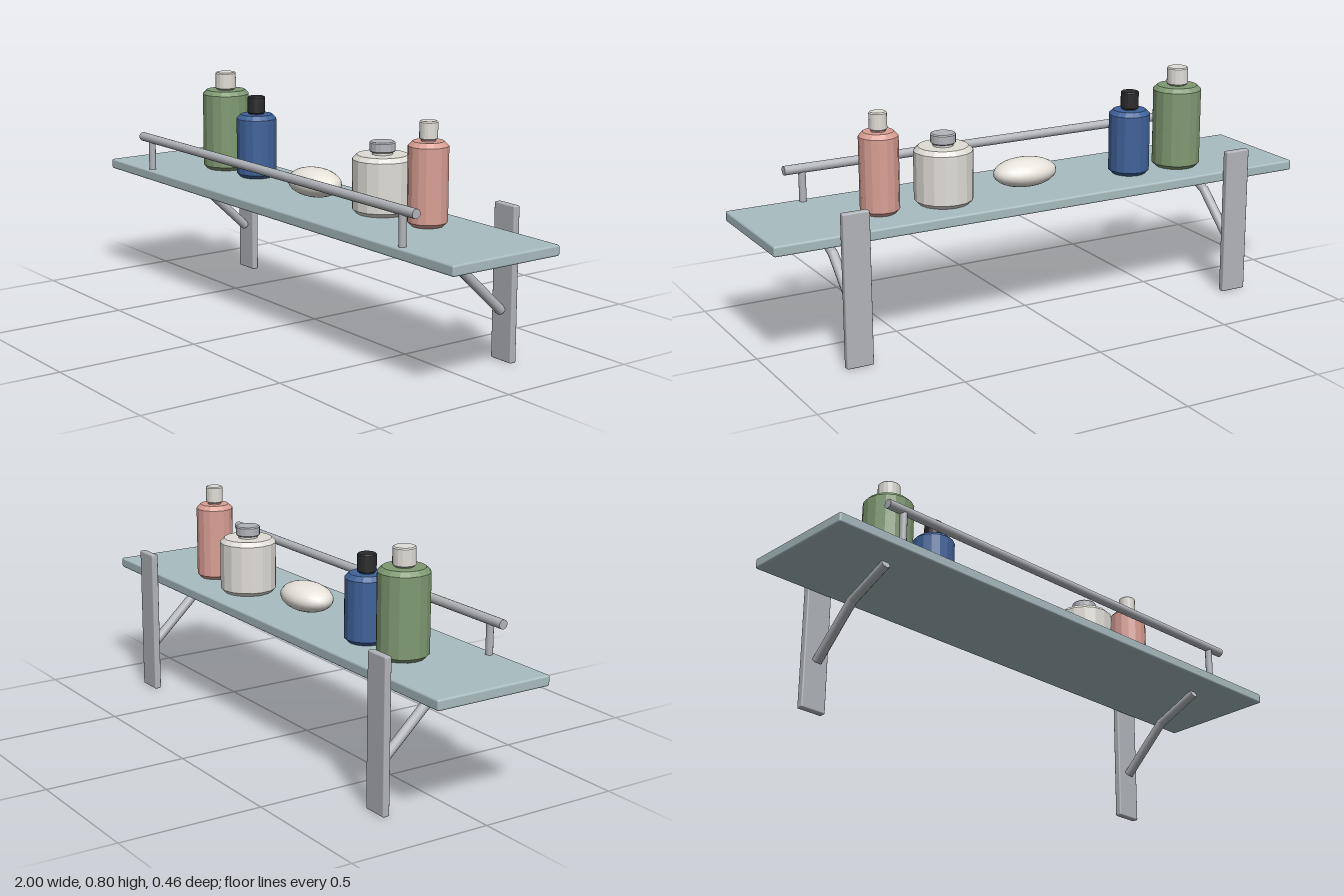
import * as THREE from 'three';
import { RoundedBoxGeometry } from 'three/addons/geometries/RoundedBoxGeometry.js';

const material = (color, flatShading = false) => {
  const m = new THREE.MeshStandardMaterial({ color, flatShading });
  return m;
};

const metal = material(0xb2b5ba);
const metalFlat = material(0xb2b5ba, true);
const glass = material(0xa8bcc0);
const green = material(0x7f9a72, true);
const blue = material(0x3f6299, true);
const pink = material(0xd99f94, true);
const cream = material(0xe0ddd6, true);
const soapWhite = material(0xe8e4dc);
const black = material(0x2b2b2d, true);

const SHELF_TOP = 0.44;

function add(parent, name, geometry, mat, x = 0, y = 0, z = 0) {
  const mesh = new THREE.Mesh(geometry, mat);
  mesh.name = name;
  mesh.position.set(x, y, z);
  parent.add(mesh);
  return mesh;
}

// Solid of revolution with chamfered top and bottom rims
function chamferedCylinder(radius, height, chamfer, sides = 16) {
  const points = [
    [0, 0], [radius - chamfer, 0], [radius, chamfer],
    [radius, height - chamfer], [radius - chamfer, height], [0, height],
  ].map(([r, y]) => new THREE.Vector2(r, y));
  return new THREE.LatheGeometry(points, sides);
}

// Round bar between two points
function bar(parent, name, a, b, radius, mat, sides = 12) {
  const from = new THREE.Vector3(...a), to = new THREE.Vector3(...b);
  const dir = to.clone().sub(from);
  const mesh = add(parent, name, new THREE.CylinderGeometry(radius, radius, dir.length(), sides), mat);
  mesh.position.copy(from).add(to).multiplyScalar(0.5);
  mesh.quaternion.setFromUnitVectors(new THREE.Vector3(0, 1, 0), dir.normalize());
  return mesh;
}

// Container standing on the shelf: body, short neck and cap
function container({ name, x, radius, top, capRadius, capBase, capTop, body, cap }) {
  const group = new THREE.Group();
  group.name = name;
  group.position.set(x, SHELF_TOP, -0.034);
  const height = top - SHELF_TOP;
  add(group, name + 'Body', chamferedCylinder(radius, height, 0.015), body);
  const neckHeight = capBase - top + 0.02;
  add(group, name + 'Neck', new THREE.CylinderGeometry(capRadius * 0.8, capRadius * 0.8, neckHeight, 16),
    body, 0, height - 0.01 + neckHeight / 2, 0);
  add(group, name + 'Cap', chamferedCylinder(capRadius, capTop - capBase, 0.004), cap, 0, capBase - SHELF_TOP, 0);
  return group;
}

export function createModel() {
  const model = new THREE.Group();
  model.name = 'bathroomShelf';

  // Shelf board
  add(model, 'shelfBoard', new RoundedBoxGeometry(2, 0.036, 0.43, 2, 0.007), glass, 0, 0.423, 0.017);

  // Wall plates, bent struts and rail posts on both sides
  for (const side of [1, -1]) {
    const x = side * 0.735;
    const bracket = new THREE.Group();
    bracket.name = side > 0 ? 'leftBracket' : 'rightBracket';
    add(bracket, 'wallPlate', new RoundedBoxGeometry(0.094, 0.52, 0.025, 2, 0.005), metal, x, 0.26, -0.219);
    const foot = [x, 0.169, -0.203], bend = [x, 0.326, -0.035], tip = [x, 0.397, 0.129];
    bar(bracket, 'lowerStrut', foot, bend, 0.017, metal);
    bar(bracket, 'upperStrut', bend, tip, 0.0165, metal);
    add(bracket, 'strutElbow', new THREE.SphereGeometry(0.017, 12, 8), metal, ...bend);
    model.add(bracket);
    bar(model, 'railPost', [x, 0.435, 0.208], [x, 0.555, 0.208], 0.0125, metal);
  }

  // Front guard rail
  bar(model, 'guardRail', [-0.8, 0.555, 0.208], [0.8, 0.555, 0.208], 0.016, metal, 16);

  // Bottles and jar
  const containers = [
    { name: 'greenBottle', x: -0.603, radius: 0.086, top: 0.735, capRadius: 0.038, capBase: 0.738, capTop: 0.8, body: green, cap: cream },
    { name: 'blueBottle', x: -0.403, radius: 0.073, top: 0.67, capRadius: 0.032, capBase: 0.673, capTop: 0.735, body: blue, cap: black },
    { name: 'jar', x: 0.33, radius: 0.1, top: 0.637, capRadius: 0.043, capBase: 0.645, capTop: 0.68, body: cream, cap: metalFlat },
    { name: 'pinkBottle', x: 0.564, radius: 0.066, top: 0.716, capRadius: 0.03, capBase: 0.721, capTop: 0.781, body: pink, cap: cream },
  ];
  for (const spec of containers) model.add(container(spec));

  // Soap bar
  const soap = add(model, 'soap', new THREE.SphereGeometry(1, 24, 16), soapWhite, 0, 0.491, 0);
  soap.scale.set(0.117, 0.05, 0.079);

  return model;
}
